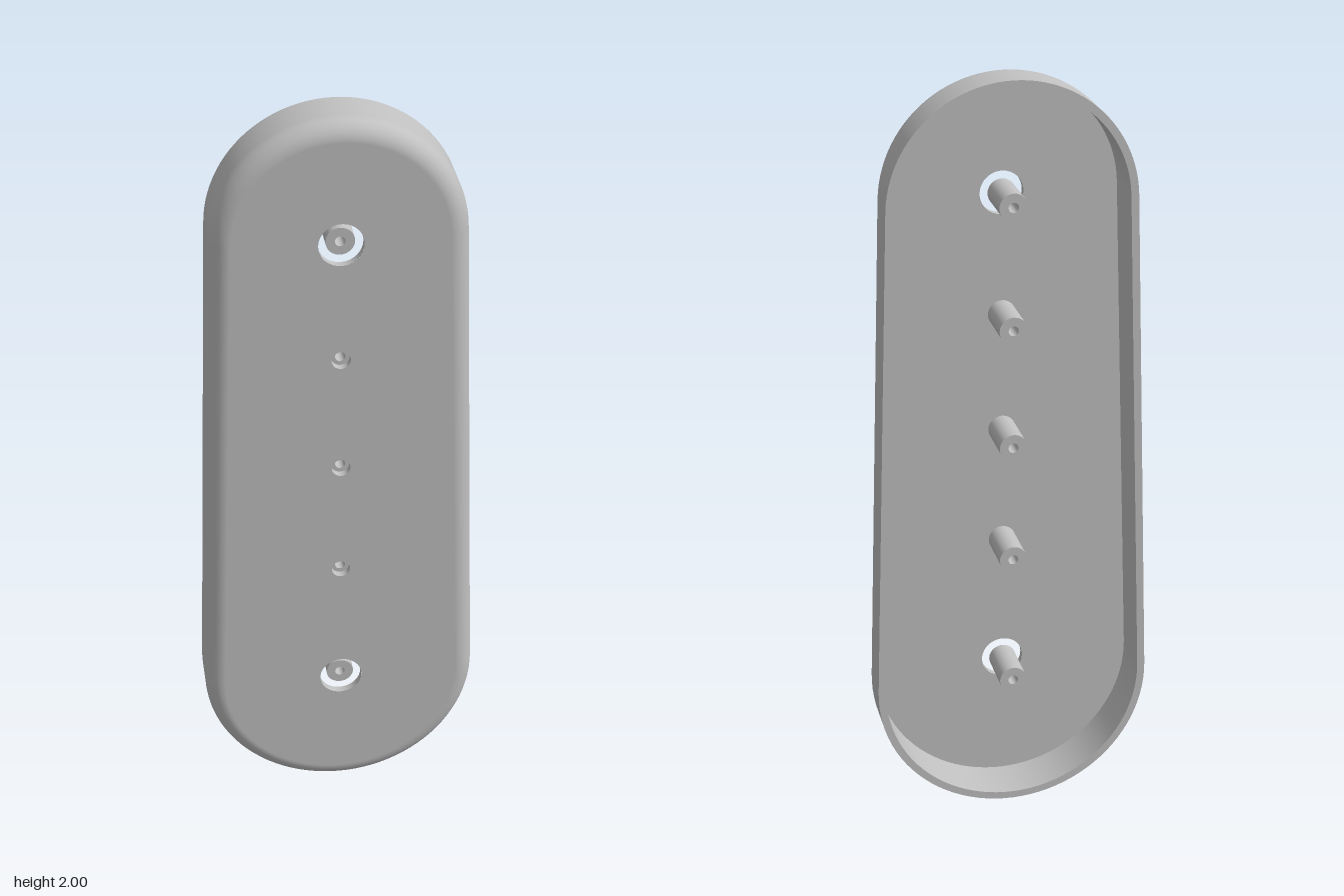
import * as THREE from 'three';
import { mergeGeometries } from 'three/addons/utils/BufferGeometryUtils.js';

const BACK = -0.075, FRONT = 0.075, FLOOR = 0.055;
const WALL = 0.02, FILLET = 0.05, BORE = 0.013, POST = 0.036;
const LOW = { y: 0.365, r: 0.365 }, HIGH = { y: 1.683, r: 0.317 };
const ARC = 48;

// Counter-clockwise outline of two tangent arcs: position inset by d, plus outward direction
function outline(d) {
  const tilt = Math.asin((LOW.r - HIGH.r) / (HIGH.y - LOW.y));
  const pts = [];
  const arc = (c, from, to) => {
    for (let i = 0; i <= ARC; i++) {
      const t = from + (to - from) * i / ARC, nx = Math.cos(t), ny = Math.sin(t);
      pts.push({ x: (c.r - d) * nx, y: c.y + (c.r - d) * ny, nx, ny });
    }
  };
  arc(HIGH, tilt, Math.PI - tilt);
  arc(LOW, Math.PI - tilt, 2 * Math.PI + tilt);
  return pts;
}

// Sweep a profile of [inset, z, normal angle] around the outline
function sweep(profile) {
  const pos = [], nor = [], idx = [];
  let n = 0;
  for (const [d, z, a] of profile) {
    const ring = outline(d);
    n = ring.length;
    for (const p of ring) {
      pos.push(p.x, p.y, z);
      nor.push(p.nx * Math.cos(a), p.ny * Math.cos(a), Math.sin(a));
    }
  }
  for (let j = 0; j < profile.length - 1; j++) {
    for (let i = 0; i < n; i++) {
      const k = (i + 1) % n, a = j * n + i, b = j * n + k;
      idx.push(a, b, b + n, a, b + n, a + n);
    }
  }
  const g = new THREE.BufferGeometry();
  g.setAttribute('position', new THREE.Float32BufferAttribute(pos, 3));
  g.setAttribute('normal', new THREE.Float32BufferAttribute(nor, 3));
  g.setIndex(idx);
  return g;
}

// Turn [radius, z] points about the z axis, one sharp-edged band per segment
function turned(points) {
  const bands = points.slice(1).map((p, i) => new THREE.LatheGeometry(
    [new THREE.Vector2(...points[i]), new THREE.Vector2(...p)], 32));
  return mergeGeometries(bands).rotateX(Math.PI / 2);
}

export function createModel() {
  const group = new THREE.Group();
  const grey = new THREE.MeshStandardMaterial({ color: 0xc0c0c0 });
  grey.name = 'grey';
  const add = (name, geometry, y = 0) => {
    const mesh = new THREE.Mesh(geometry, grey);
    mesh.name = name;
    mesh.position.y = y;
    group.add(mesh);
  };

  // Post positions, with wide clearance holes at the two ends
  const stations = [0, 1, 2, 3, 4].map(i => ({
    y: 0.37 + i * (1.685 - 0.37) / 4 + (i % 4 ? 0.02 : 0),
    hole: i % 4 ? 0.024 : 0.056,
  }));
  stations.forEach((s, i) => { s.y = [0.37, 0.729, 1.047, 1.365, 1.685][i]; });

  // Flat plate with the five holes cut out
  const plate = inset => {
    const shape = new THREE.Shape(outline(inset).map(p => new THREE.Vector2(p.x, p.y)));
    for (const s of stations) {
      shape.holes.push(new THREE.Path().absarc(0, s.y, s.hole, 0, Math.PI * 2, true));
    }
    return new THREE.ShapeGeometry(shape, 32);
  };
  add('frontFace', plate(FILLET).translate(0, 0, FRONT));
  add('innerFloor', plate(WALL).rotateY(Math.PI).translate(0, 0, FLOOR));

  // Outer side with its rounded front edge
  const side = [[0, BACK, 0]];
  for (let i = 0; i <= 10; i++) {
    const a = i / 10 * Math.PI / 2;
    side.push([FILLET * (1 - Math.cos(a)), FRONT - FILLET * (1 - Math.sin(a)), a]);
  }
  add('outerSide', sweep(side));
  add('backRim', sweep([[WALL, BACK, -Math.PI / 2], [0, BACK, -Math.PI / 2]]));
  add('innerWall', sweep([[WALL, FLOOR, Math.PI], [WALL, BACK, Math.PI]]));

  // Hole edges and hollow posts
  for (const s of stations) {
    add('holeEdge', turned([[s.hole, FRONT], [s.hole, FLOOR]]), s.y);
    add('post', turned([[POST, BACK], [POST, FLOOR], [BORE, FLOOR], [BORE, BACK], [POST, BACK]]), s.y);
  }
  return group;
}
